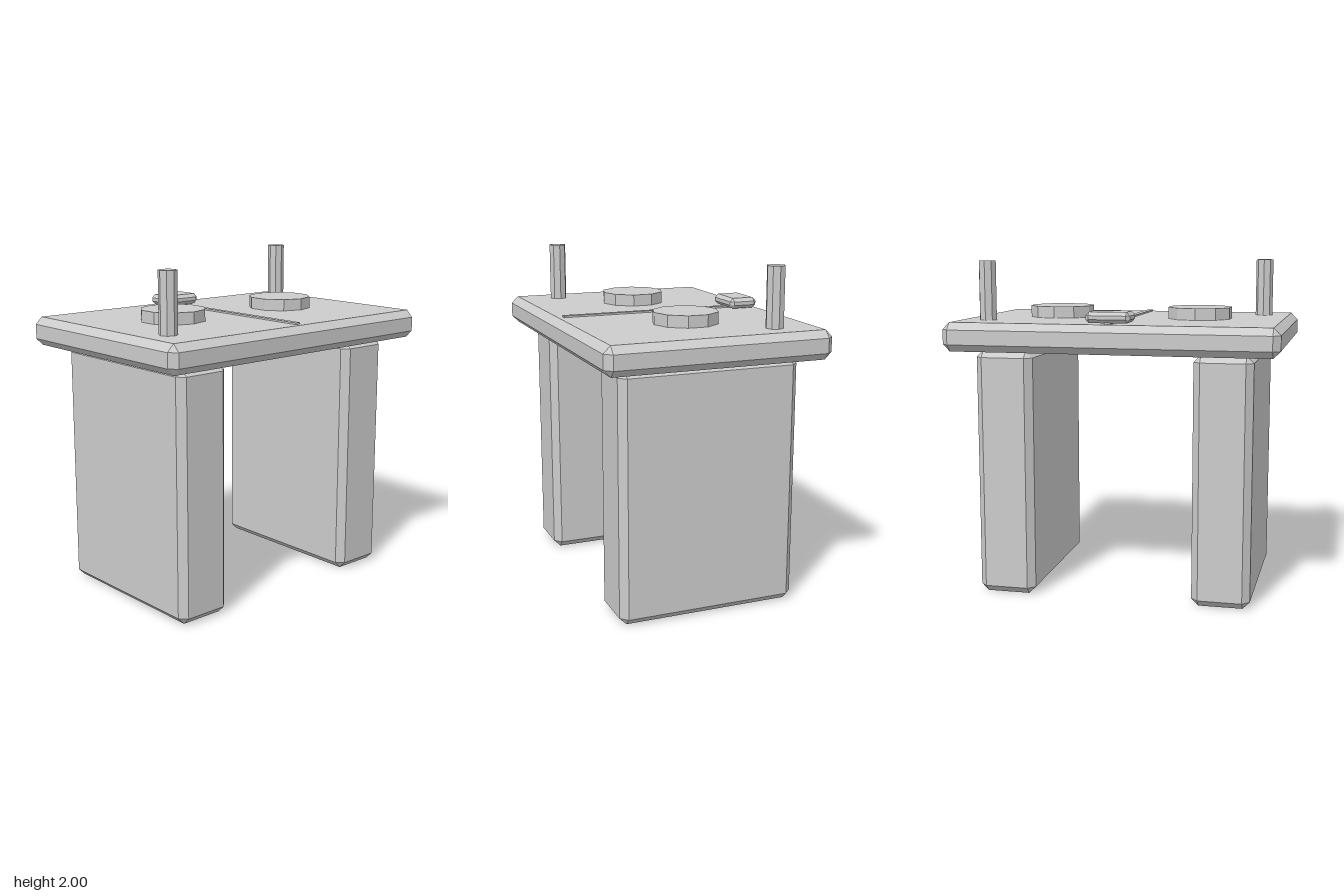
import * as THREE from 'three';
import { ConvexGeometry } from 'three/addons/geometries/ConvexGeometry.js';

// Box with every edge and corner chamfered by b
function chamferBox(w, h, d, b) {
  const points = [];
  for (const sx of [-1, 1]) for (const sy of [-1, 1]) for (const sz of [-1, 1]) {
    const x = w / 2, y = h / 2, z = d / 2;
    points.push(
      new THREE.Vector3(sx * x, sy * (y - b), sz * (z - b)),
      new THREE.Vector3(sx * (x - b), sy * y, sz * (z - b)),
      new THREE.Vector3(sx * (x - b), sy * (y - b), sz * z),
    );
  }
  return new ConvexGeometry(points);
}

export function createModel() {
  const group = new THREE.Group();
  const grey = new THREE.MeshStandardMaterial({ color: 0xcccccc, flatShading: true });
  grey.name = 'lightGrey';

  const add = (name, geometry, x, y, z) => {
    const mesh = new THREE.Mesh(geometry, grey);
    mesh.name = name;
    mesh.position.set(x, y, z);
    group.add(mesh);
  };

  // Table top
  add('tableTop', chamferBox(1.96, 0.17, 1.35, 0.042), 0, 1.565, 0);

  // Slab legs and raised ten-sided discs, one per side
  for (const [side, s] of [['left', 1], ['right', -1]]) {
    add(side + 'Leg', chamferBox(0.345, 1.48, 1.085, 0.042), s * 0.65, 0.74, 0);
    add(side + 'Disc', new THREE.CylinderGeometry(0.195, 0.195, 0.08, 10), s * 0.435, 1.68, 0);
  }

  // Upright pegs at opposite corners
  for (const [name, s] of [['backLeftPeg', 1], ['frontRightPeg', -1]]) {
    add(name, new THREE.CylinderGeometry(0.053, 0.053, 0.36, 8), s * 0.783, 1.82, s * -0.395);
  }

  // Thin centre strip and the block at its back end
  add('centreStrip', new THREE.BoxGeometry(0.036, 0.02, 1.2), 0, 1.65, 0);
  add('backBlock', chamferBox(0.26, 0.064, 0.175, 0.021), 0, 1.688, -0.527);

  return group;
}
